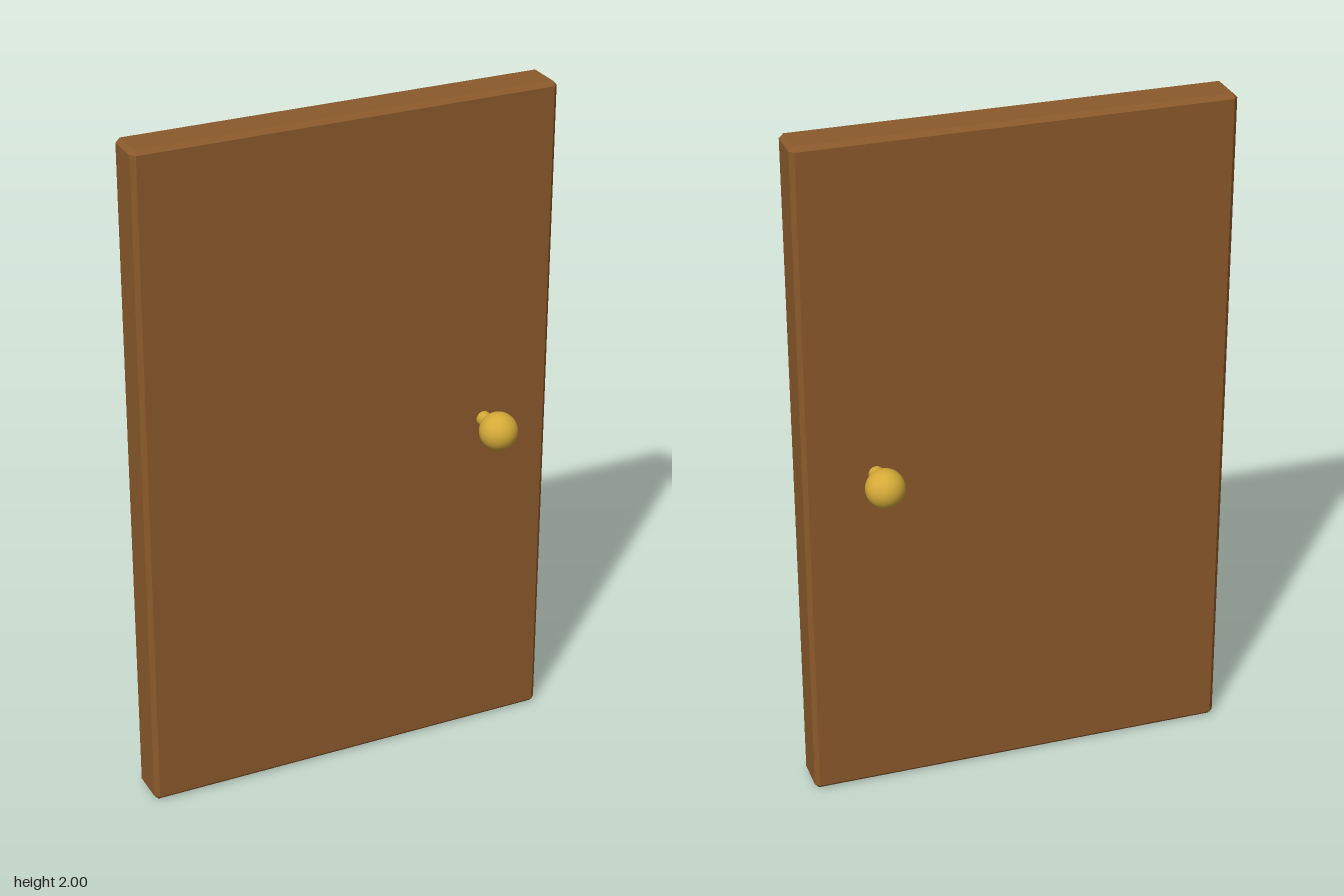
import * as THREE from 'three';
import { ConvexGeometry } from 'three/addons/geometries/ConvexGeometry.js';

// Box with every edge and corner cut by a flat chamfer
function chamferedBox(w, h, d, c) {
  const points = [];
  for (const x of [-w / 2, w / 2])
    for (const y of [-h / 2, h / 2])
      for (const z of [-d / 2, d / 2]) {
        const ix = x - Math.sign(x) * c, iy = y - Math.sign(y) * c, iz = z - Math.sign(z) * c;
        points.push(
          new THREE.Vector3(x, iy, iz),
          new THREE.Vector3(ix, y, iz),
          new THREE.Vector3(ix, iy, z)
        );
      }
  return new ConvexGeometry(points);
}

export function createModel() {
  const model = new THREE.Group();
  model.name = 'door';
  const wood = new THREE.MeshStandardMaterial({ color: 0x8b5a2b });
  const brass = new THREE.MeshStandardMaterial({ color: 0xd4a937 });

  // Door panel
  const panel = new THREE.Mesh(chamferedBox(1.25, 2, 0.125, 0.0125), wood);
  panel.name = 'panel';
  panel.position.y = 1;
  model.add(panel);

  // One handle on each face: a short stem carrying a round knob
  const stemGeometry = new THREE.CylinderGeometry(0.022, 0.022, 0.1, 24).rotateX(Math.PI / 2);
  const knobGeometry = new THREE.SphereGeometry(0.056, 32, 20);
  for (const [label, side] of [['front', 1], ['back', -1]]) {
    const handle = new THREE.Group();
    handle.name = label + 'Handle';
    handle.position.set(0.418, 1.017, 0);

    const stem = new THREE.Mesh(stemGeometry, brass);
    stem.name = label + 'Stem';
    stem.position.z = side * 0.105;

    const knob = new THREE.Mesh(knobGeometry, brass);
    knob.name = label + 'Knob';
    knob.position.z = side * 0.154;

    handle.add(stem, knob);
    model.add(handle);
  }
  return model;
}
